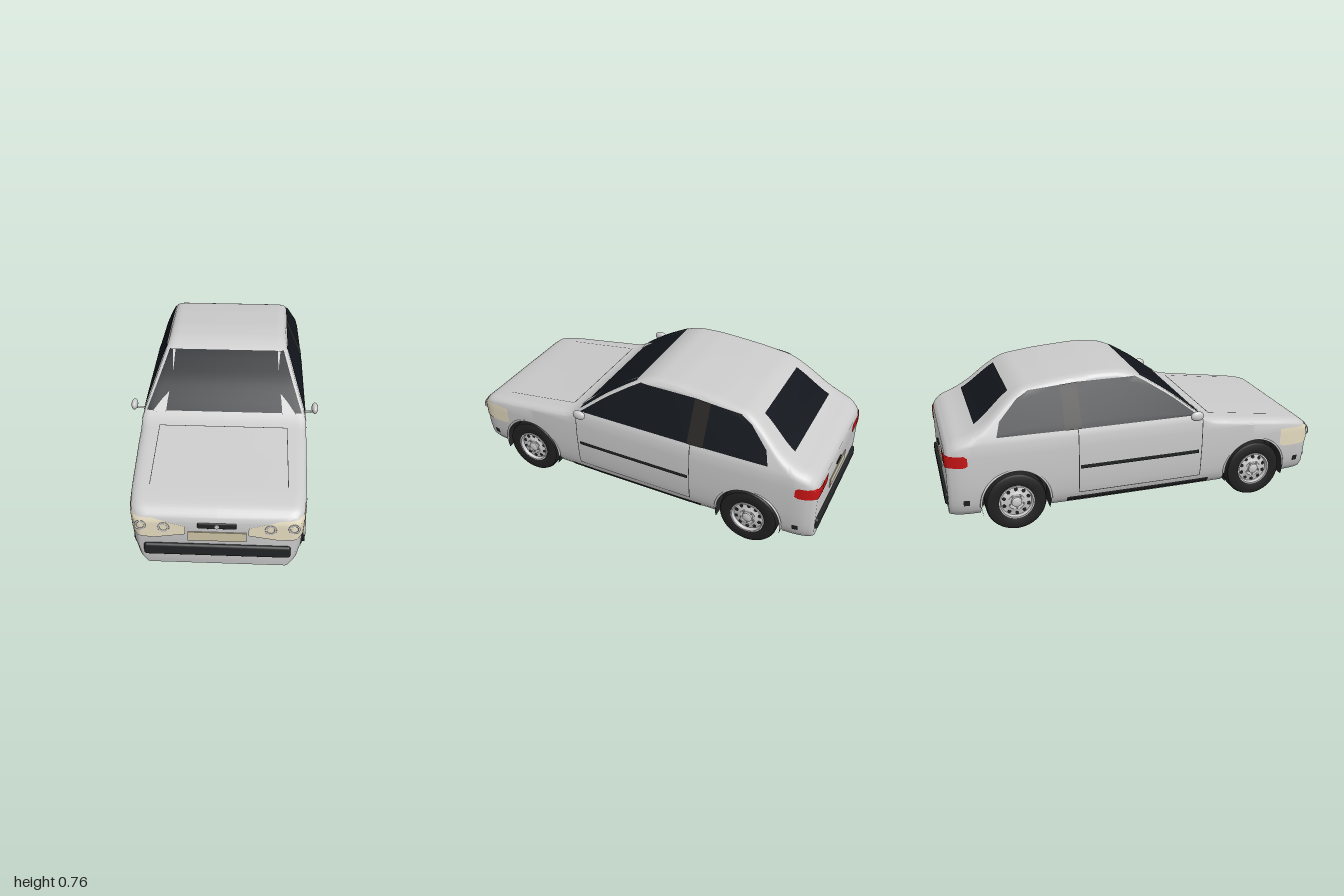
import * as THREE from 'three';
import { mergeGeometries, toCreasedNormals } from 'three/addons/utils/BufferGeometryUtils.js';
import { RoundedBoxGeometry } from 'three/addons/geometries/RoundedBoxGeometry.js';

const mat = (color) => new THREE.MeshStandardMaterial({ color, side: THREE.DoubleSide });
const GREY = mat(0xcccccc), GLASS = mat(0x12161c), TRIM = mat(0x222324), PILLAR = mat(0x292725), SEAM = mat(0x333333);
const LAMP = mat(0xe9dfc4), RED = mat(0xc41414), PLATE = mat(0xd0c6a6), TYRE = mat(0x202020);

const END = 0.985, AXLES = [0.65, -0.655], WHEEL_Y = 0.155, ARCH = 0.175;

// Piecewise linear lookup in a table of [key, value] with falling keys
function lookup(table, k) {
  if (k >= table[0][0]) return table[0][1];
  for (let i = 1; i < table.length; i++) {
    const [k1, v1] = table[i], [k0, v0] = table[i - 1];
    if (k >= k1) return v0 + (v1 - v0) * (k0 - k) / (k0 - k1);
  }
  return table[table.length - 1][1];
}
// The same, rounded off along the car's length
function smooth(table, z) {
  const h = Math.max(0, Math.min(0.03, END - Math.abs(z)));
  let sum = 0;
  for (let i = -3; i <= 3; i++) sum += lookup(table, z + h * i / 3);
  return sum / 7;
}

// Body shape: height and half width along z, side bulge over y
const TOP = [[0.985, 0.345], [0.98, 0.365], [0.97, 0.385], [0.94, 0.402], [0.85, 0.42], [0.6, 0.453], [0.37, 0.485],
  [0.325, 0.51], [0.17, 0.63], [0, 0.738], [-0.07, 0.76], [-0.2, 0.764], [-0.42, 0.747], [-0.59, 0.722],
  [-0.67, 0.67], [-0.79, 0.565], [-0.87, 0.52], [-0.95, 0.497], [-0.975, 0.475], [-0.985, 0.445]];
const WIDTH = [[0.985, 0.36], [0.98, 0.372], [0.97, 0.385], [0.93, 0.401], [0.8, 0.412], [0.5, 0.421], [0.2, 0.425],
  [-0.3, 0.425], [-0.7, 0.416], [-0.9, 0.407], [-0.96, 0.393], [-0.98, 0.373], [-0.985, 0.36]];
const ROUND = [[0.98, 0.03], [0.4, 0.03], [0.3, 0.015], [0.05, 0.015], [0, 0.03], [-0.6, 0.03], [-0.98, 0.045]];
const BULGE = [[0.73, 0.755], [0.52, 0.97], [0.48, 1], [0.35, 1], [0.2, 0.975], [0.13, 0.935], [0.1, 0.88]];
const LEVELS = [0.1, 0.115, 0.13, 0.165, 0.2, 0.275, 0.35, 0.42, 0.48, 0.5, 0.52, 0.59, 0.66, 0.73];

const topY = (z) => smooth(TOP, z);
function sideX(z, y) {
  const t = topY(z), r = smooth(ROUND, z), w = smooth(WIDTH, z);
  if (y <= t - r) return w * lookup(BULGE, y);
  const x0 = w * lookup(BULGE, t - r), s = 1 - Math.sqrt(Math.max(0, t - y) / r);
  return x0 - 0.3 * r * 2 * s * (1 - s) - 2 * r * s * s;
}
function archY(z) {
  const d = Math.min(...AXLES.map((a) => Math.abs(z - a)));
  return d < ARCH ? WHEEL_Y + Math.sqrt(ARCH * ARCH - d * d) : 0.1;
}
// z of the front (dir 1) or rear (dir -1) surface at x, y
function endZ(x, y, dir) {
  let a = -0.2, b = END * dir;
  const inside = (z) => y <= topY(z) && Math.abs(x) <= sideX(z, y);
  if (inside(b)) return b;
  for (let i = 0; i < 30; i++) {
    const m = (a + b) / 2;
    if (inside(m)) a = m; else b = m;
  }
  return a;
}

// Grid surface through fn(i, j)
function grid(nu, nv, fn) {
  const pos = [], idx = [];
  for (let i = 0; i <= nu; i++) for (let j = 0; j <= nv; j++) {
    pos.push(...fn(i, j));
    if (i < nu && j < nv) {
      const a = i * (nv + 1) + j, c = a + nv + 1;
      idx.push(a, c, a + 1, a + 1, c, c + 1);
    }
  }
  const g = new THREE.BufferGeometry();
  g.setAttribute('position', new THREE.Float32BufferAttribute(pos, 3));
  g.setIndex(idx);
  g.computeVertexNormals();
  return g;
}

export function createModel() {
  const car = new THREE.Group();
  car.name = 'car';
  const add = (name, geo, material, x = 0, y = 0, z = 0, parent = car) => {
    const m = new THREE.Mesh(geo, material);
    m.name = name;
    m.position.set(x, y, z);
    parent.add(m);
    return m;
  };

  // Body shell lofted along z, with wheel arches cut into its lower edge
  const stations = [0.985, 0.982, 0.979, 0.975, 0.97, 0.965, 0.95].flatMap((z) => [z, -z]);
  for (let i = -47; i <= 47; i++) stations.push(i * 0.02);
  for (const a of AXLES) for (const s of [-1, 1]) for (const d of [0.1755, 0.1748, 0.173, 0.168, 0.16, 0.15, 0.135]) stations.push(a + s * d);
  stations.sort((a, b) => b - a);
  const section = (z) => {
    const t = topY(z), r = smooth(ROUND, z), b = archY(z), half = [];
    for (const y of LEVELS) { const v = Math.max(b, Math.min(y, t - r)); half.push([sideX(z, v), v, z]); }
    for (let k = 0; k <= 6; k++) { const y = t - r * (1 - k / 6) ** 2; half.push([sideX(z, y), y, z]); }
    return [...half, [0, t, z], ...half.reverse().map(([x, y]) => [-x, y, z])];
  };
  const rings = stations.map(section), last = rings[0].length - 1;
  const cap = (ring, dir) => grid((last >> 1), 1, (i, j) => ring[(j === 0) === (dir > 0) ? i : last - i]);
  const shell = mergeGeometries([grid(rings.length - 1, last, (i, j) => rings[i][j]), cap(rings[0], 1), cap(rings[rings.length - 1], -1)]);
  add('body', toCreasedNormals(shell, 0.9), GREY);
  add('floor', grid(stations.length - 1, 1, (i, j) => {
    const z = stations[i], x = archY(z) > 0.1 ? 0.3 : sideX(z, 0.1);
    return [j ? x : -x, 0.1, z];
  }), GREY);

  // Thin panels laid on the body: rows are [v, u0, u1]
  const panel = (name, material, map, rows, nu = 10) => {
    const fine = [];
    rows.slice(1).forEach((r1, k) => {
      const r0 = rows[k], n = Math.ceil(Math.abs(r1[0] - r0[0]) / 0.015);
      for (let i = k ? 1 : 0; i <= n; i++) fine.push(r0.map((v, c) => v + (r1[c] - v) * i / n));
    });
    return add(name, grid(fine.length - 1, nu, (i, j) => {
      const [v, a, b] = fine[i];
      return map(v, a + (b - a) * j / nu);
    }), material);
  };
  const onSide = (s, e = 0.005) => (z, y) => { const v = Math.min(y, topY(z) - 0.01); return [s * (sideX(z, v) + e), v, z]; };
  const onEnd = (dir, s = 1, e = 0.005) => (x, y) => [s * x, y, endZ(x, y, dir) + dir * e];
  const byHeight = (dir, s, e) => (y, x) => onEnd(dir, s, e)(x, y);
  const onTop = (x, z) => [x, topY(z) + 0.003, z];

  // Windscreen and rear window
  panel('windscreen', GLASS, byHeight(1, 1, 0.007), [[0.52, -0.4, 0.4], [0.726, -0.305, 0.305]], 40);
  panel('rearWindow', GLASS, byHeight(-1, 1, 0.007), [[0.548, -0.28, 0.28], [0.69, -0.237, 0.237]], 24);

  // Bonnet seam
  panel('bonnetSeamRear', SEAM, onTop, [[-0.325, 0.4, 0.404], [0.325, 0.4, 0.404]], 1);

  for (const s of [1, -1]) {
    // Windscreen pillar ends
    panel('pillarFoot', GREY, byHeight(1, s, 0.012), [[0.518, 0.3, 0.37], [0.56, 0.295, 0.325], [0.585, 0.29, 0.293]]);
    panel('pillarHead', GREY, byHeight(1, s, 0.012), [[0.66, 0.277, 0.278], [0.726, 0.274, 0.287]]);
    panel('bonnetSeam', SEAM, onTop, [[s * 0.323, 0.4, 0.82], [s * 0.326, 0.4, 0.82]], 30);

    // Side windows with the post between them
    panel('sideWindow', GLASS, onSide(s), [[0.325, 0.515, 0.52], [0.17, 0.515, 0.63], [-0.01, 0.515, 0.73], [-0.315, 0.515, 0.73],
      [-0.56, 0.515, 0.712], [-0.62, 0.515, 0.68], [-0.715, 0.515, 0.585], [-0.735, 0.515, 0.52]], 14);
    panel('doorPost', PILLAR, onSide(s, 0.007), [[-0.315, 0.515, 0.73], [-0.4, 0.515, 0.724]], 14);

    // Door seams, rubbing strip, sill and bumper markers
    for (const z of [0.33, -0.335]) panel('doorSeam', SEAM, onSide(s, 0.003), [[z, 0.16, 0.515], [z + 0.004, 0.16, 0.515]], 24);
    panel('doorSeamBottom', SEAM, onSide(s, 0.003), [[0.334, 0.16, 0.164], [-0.335, 0.16, 0.164]], 1);
    panel('rubbingStrip', TRIM, onSide(s, 0.006), [[0.315, 0.302, 0.322], [-0.325, 0.302, 0.322]], 3);
    panel('sillStrip', TRIM, onSide(s, 0.006), [[0.385, 0.112, 0.14], [-0.395, 0.112, 0.14]], 4);
    for (const z of [0.925, -0.885]) panel('sideMarker', TRIM, onSide(s), [[z, 0.163, 0.195], [z - 0.03, 0.163, 0.195]], 4);

    // Headlamps wrapping round the corner, with two rings each
    panel('headlamp', LAMP, onEnd(1, s), [[0.145, 0.278, 0.322], [0.29, 0.255, 0.364], [0.34, 0.26, 0.366], [0.38, 0.265, 0.366]]);
    panel('headlampSide', LAMP, onSide(s, 0.004), [[0.98, 0.265, 0.355], [0.96, 0.265, 0.372], [0.83, 0.268, 0.374], [0.8, 0.28, 0.372]]);
    for (const [x, y] of [[0.245, 0.316], [0.352, 0.325]]) {
      const z = endZ(x, y, 1) + 0.005;
      add('lampRing', new THREE.TorusGeometry(0.022, 0.005, 8, 28), GREY, s * x, y, z).scale.z = 0.6;
    }

    // Tail lamps wrapping round the corner
    panel('tailLamp', RED, onEnd(-1, s), [[0.22, 0.385, 0.432], [0.24, 0.376, 0.437], [0.38, 0.376, 0.437]]);
    panel('tailLampSide', RED, onSide(s, 0.004), [[-0.98, 0.376, 0.437], [-0.9, 0.376, 0.437], [-0.883, 0.385, 0.425]]);
    panel('tailLampDivider', TRIM, onEnd(-1, s, 0.007), [[0.3, 0.376, 0.437], [0.308, 0.376, 0.437]]);

    // Door mirror on its arm
    const arm = add('mirrorArm', new THREE.CylinderGeometry(0.005, 0.005, 0.07, 10), GREY, s * 0.435, 0.513, 0.285);
    arm.rotation.z = Math.PI / 2;
    add('mirror', new THREE.SphereGeometry(1, 24, 16), GREY, s * 0.468, 0.53, 0.28).scale.set(0.017, 0.026, 0.036);

    // Wheels, wheel wells and arch lips
    for (const z of AXLES) {
      const well = new THREE.CylinderGeometry(ARCH, ARCH, 0.115, 40, 1, true, -0.3, Math.PI + 0.6).rotateZ(Math.PI / 2);
      add('wheelWell', well, TRIM, s * 0.357, WHEEL_Y, z);
      const wall = new THREE.CircleGeometry(ARCH, 40, -0.3, Math.PI + 0.6).rotateY(Math.PI / 2);
      add('wheelWellWall', wall, TRIM, s * 0.3, WHEEL_Y, z);
      const lip = new THREE.TorusGeometry(ARCH + 0.002, 0.006, 8, 40, Math.PI).rotateY(Math.PI / 2);
      add('archLip', lip, GREY, s * (sideX(z, 0.3) - 0.003), WHEEL_Y, z);
      const wheel = makeWheel(add);
      wheel.position.set(s * 0.3675, WHEEL_Y, z);
      wheel.rotation.y = s > 0 ? 0 : Math.PI;
      car.add(wheel);
    }
  }

  // Bumper strips, number plates, grille and boot handle
  for (const d of [1, -1]) add('bumperStrip', new RoundedBoxGeometry(0.68, 0.065, 0.05, 4, 0.014), TRIM, 0, 0.187, d * 0.975);
  add('frontPlate', new THREE.BoxGeometry(0.27, 0.05, 0.01), PLATE, 0, 0.266, 0.985);
  add('rearPlate', new THREE.BoxGeometry(0.27, 0.055, 0.01), PLATE, 0, 0.3, -0.985);
  add('grille', new RoundedBoxGeometry(0.18, 0.033, 0.016, 3, 0.007), TRIM, 0, 0.327, 0.982);
  add('grilleStud', new THREE.CylinderGeometry(0.011, 0.011, 0.012, 24).rotateX(Math.PI / 2), GREY, 0, 0.327, 0.988);
  add('bootHandle', new THREE.BoxGeometry(0.07, 0.012, 0.014), TRIM, 0, 0.358, -0.985);
  return car;
}

// Wheel with its outer face towards +x
function makeWheel(add) {
  const wheel = new THREE.Group();
  wheel.name = 'wheel';
  const lathe = (name, pts, material) => {
    const g = new THREE.LatheGeometry(pts.map(([r, a]) => new THREE.Vector2(r, a)), 48).rotateZ(-Math.PI / 2);
    add(name, toCreasedNormals(g, 0.6), material, 0, 0, 0, wheel);
  };
  lathe('tyre', [[0.085, -0.036], [0.1, -0.042], [0.138, -0.0425], [0.15, -0.037], [0.155, -0.026], [0.155, 0.026],
    [0.15, 0.037], [0.138, 0.0425], [0.1, 0.042], [0.085, 0.036]], TYRE);
  lathe('rim', [[0, -0.03], [0.086, -0.03], [0.09, 0.038], [0.09, 0.044], [0.083, 0.045], [0.078, 0.026], [0.05, 0.031],
    [0.042, 0.036], [0.028, 0.034], [0.026, 0.043], [0.018, 0.047], [0, 0.048]], GREY);
  const hole = new THREE.CylinderGeometry(0.0095, 0.0095, 0.008, 16).rotateZ(Math.PI / 2);
  const nut = new THREE.CylinderGeometry(0.004, 0.004, 0.01, 6).rotateZ(Math.PI / 2);
  for (let i = 0; i < 10; i++) {
    const a = i * Math.PI / 5;
    add('rimHole', hole, TRIM, 0.0265, 0.065 * Math.cos(a), 0.065 * Math.sin(a), wheel);
    if (i % 2) add('wheelNut', nut, GREY, 0.037, 0.035 * Math.cos(a), 0.035 * Math.sin(a), wheel);
  }
  return wheel;
}
